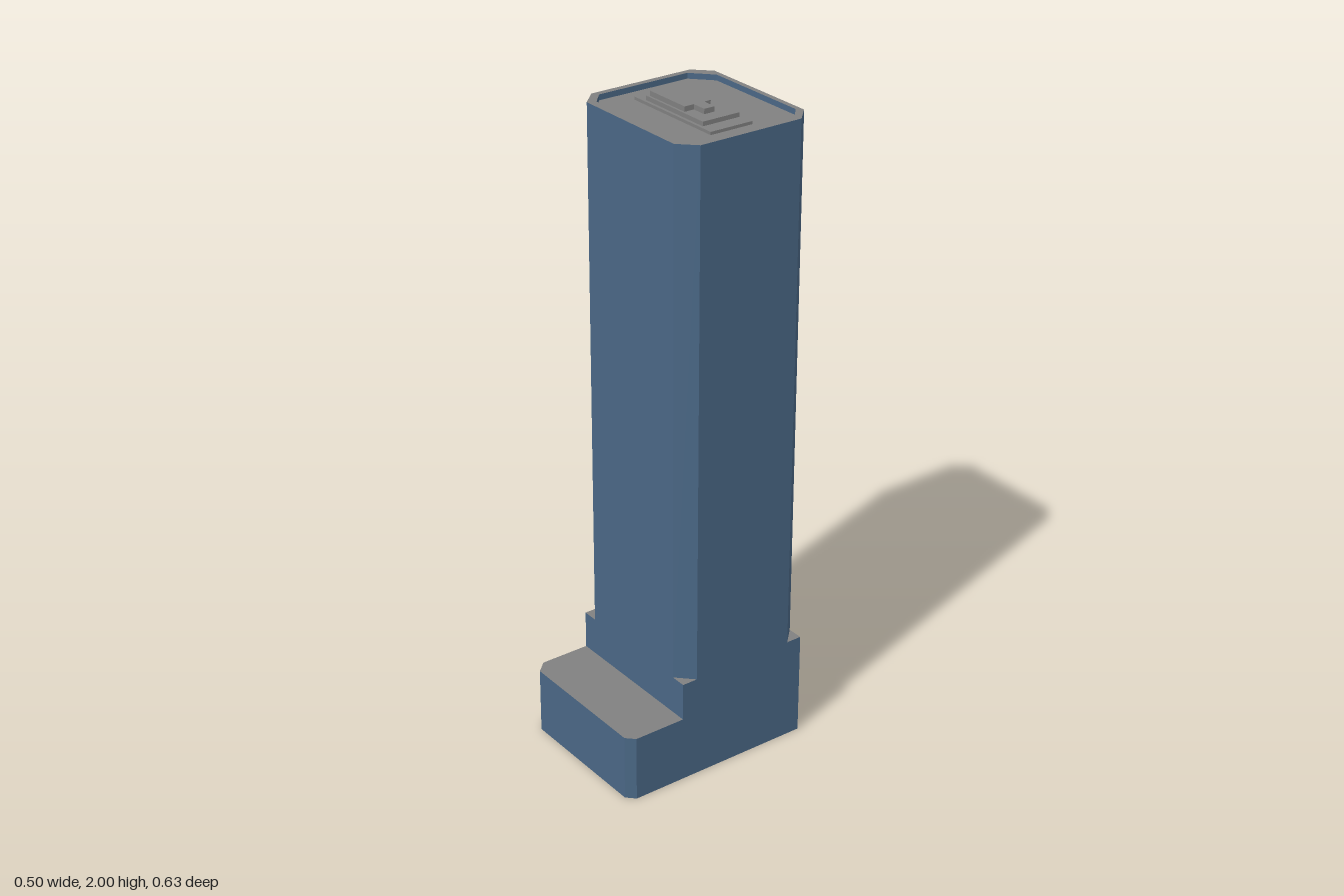
import * as THREE from 'three';

const wallMat = new THREE.MeshStandardMaterial({ color: 0x4a6785, side: THREE.DoubleSide });
wallMat.name = 'blueWall';
const roofMat = new THREE.MeshStandardMaterial({ color: 0x808080, side: THREE.DoubleSide });
roofMat.name = 'greyRoof';

// Vertical ribbon along [x, z] points; counterclockwise from above faces outward
function wall(points, y0, y1, closed = true) {
  const pos = [];
  const n = points.length;
  for (let i = 0; i < (closed ? n : n - 1); i++) {
    const [ax, az] = points[i], [bx, bz] = points[(i + 1) % n];
    pos.push(ax, y0, az, bx, y0, bz, bx, y1, bz, ax, y0, az, bx, y1, bz, ax, y1, az);
  }
  const g = new THREE.BufferGeometry();
  g.setAttribute('position', new THREE.Float32BufferAttribute(pos, 3));
  g.computeVertexNormals();
  return g;
}

// Horizontal plate at height y, with an optional opening
function plate(points, y, hole) {
  const toV = ([x, z]) => new THREE.Vector2(x, -z);
  const shape = new THREE.Shape(points.map(toV));
  if (hole) shape.holes.push(new THREE.Path(hole.map(toV)));
  return new THREE.ShapeGeometry(shape).rotateX(-Math.PI / 2).translate(0, y, 0);
}

const rect = (x0, x1, z0, z1) => [[x0, z1], [x1, z1], [x1, z0], [x0, z0]];

export function createModel() {
  const group = new THREE.Group();
  const add = (name, geometry, material) => {
    const mesh = new THREE.Mesh(geometry, material);
    mesh.name = name;
    group.add(mesh);
  };

  const W = 0.248, back = -0.316, front = 0.122, c = 0.05;
  const podiumFront = 0.315, podiumY = 0.21, baseY = 0.33, topY = 1.98, deckY = 1.963;

  // Hollow base, open underneath
  add('baseWalls', wall([[W, front], [W, back], [-W, back], [-W, front]], 0, baseY, false), wallMat);
  add('baseFrontWall', wall([[-W, front], [W, front]], podiumY, baseY, false), wallMat);

  // Low podium in front with clipped corners
  const podium = [[-W, front], [-W, 0.28], [-0.215, podiumFront],
    [0.223, podiumFront], [W, 0.29], [W, front]];
  add('podiumWalls', wall(podium, 0, podiumY, false), wallMat);
  add('podiumRoof', plate(podium, podiumY), roofMat);

  // Tower shaft with chamfered corners
  const tower = [[-W, front - c], [-W + c, front], [W - c, front], [W, front - c],
    [W, back + c], [W - c, back], [-W + c, back], [-W, back + c]];
  add('towerWalls', wall(tower, baseY, topY), wallMat);

  // Corner ledges where the square base meets the chamfers
  const corners = [[-W, front], [W, front], [W, back], [-W, back]];
  corners.forEach((corner, i) => {
    add('cornerLedge', plate([tower[2 * i], corner, tower[2 * i + 1]], baseY), roofMat);
  });

  // Parapet rim around a sunken roof deck
  const deck = [[-0.229, 0.059], [-0.186, 0.098], [0.189, 0.098], [0.227, 0.058],
    [0.227, -0.26], [0.181, -0.3], [-0.168, -0.3], [-0.229, -0.243]];
  add('parapetTop', plate(tower, topY, deck), roofMat);
  add('parapetInside', wall([...deck].reverse(), deckY, topY), wallMat);
  add('roofDeck', plate(deck, deckY), roofMat);

  // Stepped rooftop plant: [name, outline, bottom, top]
  const plant = [
    ['plantPlatform', rect(-0.177, 0.168, -0.163, -0.022), deckY, 1.972],
    ['plantStep', rect(-0.134, 0.122, -0.154, -0.031), 1.972, 1.985],
    ['plantHousing', [[-0.125, -0.038], [0.032, -0.038], [0.032, -0.069], [0.078, -0.069],
      [0.078, -0.104], [0.032, -0.104], [0.032, -0.126], [-0.125, -0.126]], 1.985, 2],
  ];
  for (const [name, outline, y0, y1] of plant) {
    add(name + 'Sides', wall(outline, y0, y1), roofMat);
    add(name + 'Top', plate(outline, y1), roofMat);
  }
  return group;
}
